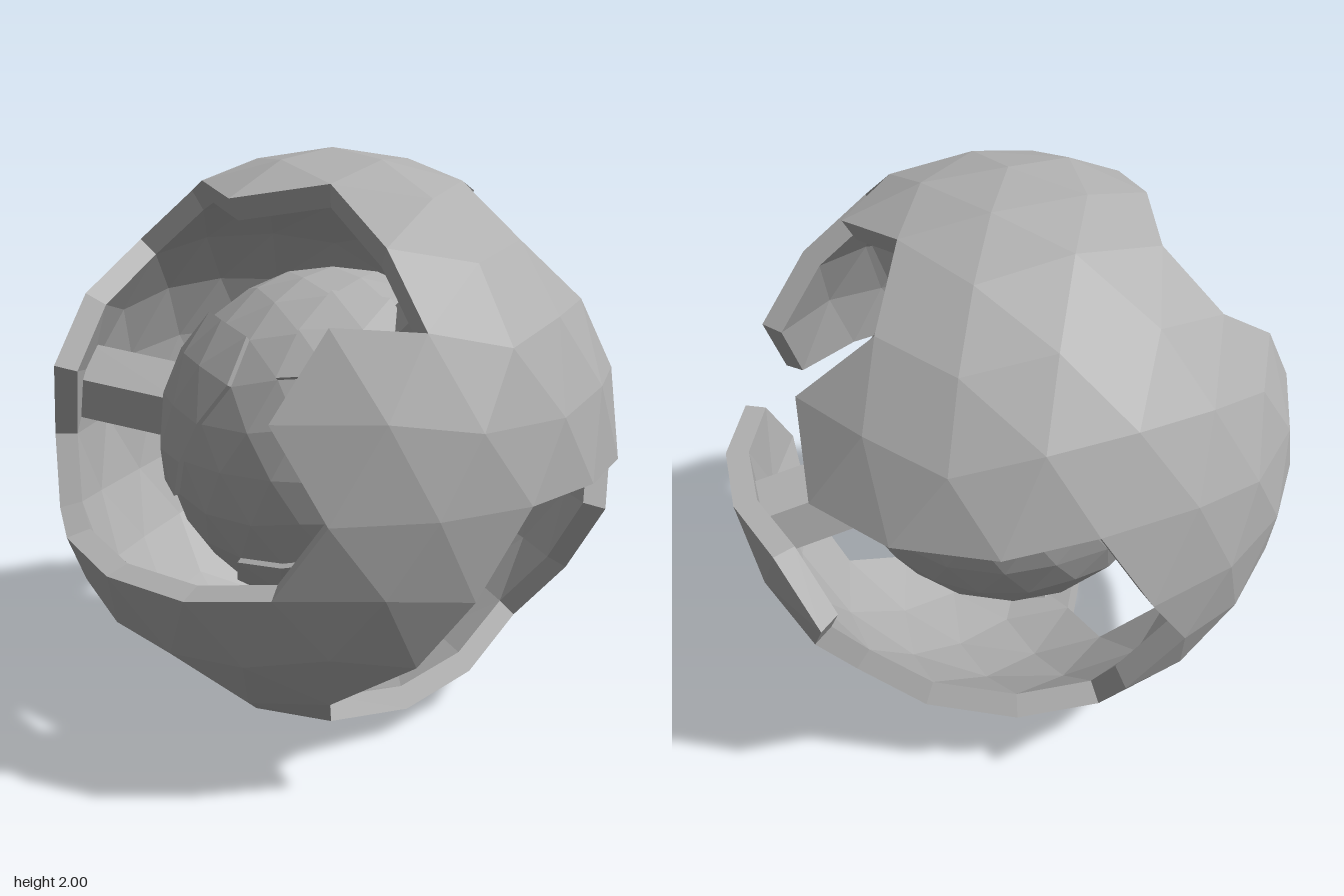
import * as THREE from 'three';

const grey = new THREE.MeshStandardMaterial({ color: 0xb0b0b0, flatShading: true });
grey.name = 'plain grey';

// Icosphere (20 faces split twice), one corner straight up
function icosphere() {
  const verts = [new THREE.Vector3(0, 1, 0)];
  const ring = (y, start) => {
    for (let k = 0; k < 5; k++) {
      const a = (start + 72 * k) * Math.PI / 180, r = 2 / Math.sqrt(5);
      verts.push(new THREE.Vector3(r * Math.cos(a), y, r * Math.sin(a)));
    }
  };
  ring(1 / Math.sqrt(5), 0);
  ring(-1 / Math.sqrt(5), 36);
  verts.push(new THREE.Vector3(0, -1, 0));
  let faces = [];
  for (let k = 0; k < 5; k++) {
    const u = 1 + k, u2 = 1 + (k + 1) % 5, l = 6 + k, l2 = 6 + (k + 1) % 5;
    faces.push([0, u2, u], [u, u2, l], [u2, l2, l], [11, l, l2]);
  }
  for (let pass = 0; pass < 2; pass++) {
    const cache = new Map(), next = [];
    const mid = (a, b) => {
      const key = Math.min(a, b) + '_' + Math.max(a, b);
      if (!cache.has(key)) {
        cache.set(key, verts.length);
        verts.push(verts[a].clone().add(verts[b]).normalize());
      }
      return cache.get(key);
    };
    for (const [a, b, c] of faces) {
      const ab = mid(a, b), bc = mid(b, c), ca = mid(c, a);
      next.push([a, ab, ca], [ab, b, bc], [ca, bc, c], [ab, bc, ca]);
    }
    faces = next;
  }
  return { verts, faces };
}
const ico = icosphere();

// Corner rows from top pole (0) to bottom pole (12)
const rowY = [1, 0.962, 0.87, 0.7, 0.49, 0.25, 0, -0.25, -0.49, -0.7, -0.87, -0.962, -1];

// Nearest sphere corner to a row and compass angle
function corner([row, deg]) {
  const y = rowY[row], r = Math.sqrt(1 - y * y), a = deg * Math.PI / 180;
  const d = new THREE.Vector3(r * Math.cos(a), y, r * Math.sin(a));
  return ico.verts.reduce((best, v) => (v.dot(d) > best.dot(d) ? v : best));
}

// Test whether a direction is inside an outline, in a stereographic map around a centre
function insideTest(centre, outline) {
  const n = new THREE.Vector3(...centre).normalize();
  const u = new THREE.Vector3(n.y, n.z, n.x).cross(n).normalize();
  const w = n.clone().cross(u);
  const flat = (v) => [v.dot(u) / (1 + v.dot(n)), v.dot(w) / (1 + v.dot(n))];
  const poly = outline.map((p) => flat(corner(p)));
  return (v) => {
    const [x, y] = flat(v);
    let inside = false;
    poly.forEach(([x1, y1], i) => {
      const [x2, y2] = poly[(i + 1) % poly.length];
      if ((y1 > y) !== (y2 > y) && x < x1 + (x2 - x1) * (y - y1) / (y2 - y1)) inside = !inside;
    });
    return inside;
  };
}

function facesWhere(test) {
  return ico.faces.filter((f) => {
    const c = new THREE.Vector3();
    f.forEach((i) => c.add(ico.verts[i]));
    return test(c.normalize());
  });
}

// Thick shell from chosen faces: outside, inside and rim walls
function shell(faces, rIn, rOut) {
  const pos = [], edges = new Set();
  const put = (i, r) => pos.push(...ico.verts[i].clone().multiplyScalar(r).toArray());
  for (const [a, b, c] of faces) {
    [a, b, c].forEach((i) => put(i, rOut));
    [a, c, b].forEach((i) => put(i, rIn));
    edges.add(a + '_' + b).add(b + '_' + c).add(c + '_' + a);
  }
  for (const e of edges) {
    const [a, b] = e.split('_').map(Number);
    if (edges.has(b + '_' + a)) continue;
    put(a, rOut); put(a, rIn); put(b, rIn);
    put(a, rOut); put(b, rIn); put(b, rOut);
  }
  const g = new THREE.BufferGeometry();
  g.setAttribute('position', new THREE.Float32BufferAttribute(pos, 3));
  g.computeVertexNormals();
  return g;
}

// Openings in the outer shell, as [row, angle] outlines
const frontOpening = [
  [7, 117], [7, 99], [7, 81], [7, 63], [7, 45], [6, 36], [5, 45], [4, 36], [4, 18], [3, 22],
  [2, 36], [2, 72], [2, 108], [2, 144], [3, 144], [4, 126], [5, 117], [6, 126],
];
const lowerFrontOpening = [
  [8, 126], [8, 108], [8, 90], [8, 72], [9, 58], [10, 72], [11, 108], [10, 144], [9, 130],
];
const backOpening = [
  [6, 0], [6, -18], [6, -36], [5, -45], [4, -36], [3, -22], [2, -36], [2, -72], [2, -108],
  [3, -122], [4, -108], [5, -117], [5, -135], [5, -153], [5, -171], [6, 180], [7, 171],
  [8, 180], [9, 180], [9, -158], [9, -130], [9, -108], [8, -108], [7, -117],
  [6, -108], [6, -90], [6, -72], [6, -54], [7, -45], [8, -54], [9, -58],
  [10, -36], [10, 0], [10, 36], [9, 36], [8, 18], [7, 9],
];

// Slightly raised plates on the core
const corePlates = [
  ['frontPlate', [-0.3, 0.2, 0.9], [
    [3, 122], [3, 94], [3, 72], [4, 72], [5, 81], [6, 90], [7, 99], [7, 117], [7, 135],
    [6, 144], [5, 153], [4, 144]]],
  ['sidePlate', [0.65, 0.7, 0.3], [
    [4, 54], [4, 36], [4, 18], [3, 0], [2, 0], [2, 36], [3, 50]]],
  ['bottomPlate', [0.2, -1, 0.1], [
    [8, 72], [8, 54], [8, 36], [8, 18], [8, 0], [7, -9], [7, -27], [8, -36], [9, -36],
    [10, -36], [10, -72], [10, -108], [10, -144], [10, 180], [10, 144], [10, 108], [9, 86]]],
];

export function createModel() {
  const model = new THREE.Group();
  const add = (name, geometry, parent) => {
    const m = new THREE.Mesh(geometry, grey);
    m.name = name;
    parent.add(m);
    return m;
  };
  const ball = new THREE.Group();
  ball.name = 'brokenSphere';
  ball.position.y = 1;
  model.add(ball);

  // Outer shell with openings
  const holes = [
    insideTest([0.05, 0.3, 1], frontOpening),
    insideTest([0, -0.75, 0.65], lowerFrontOpening),
    insideTest([0.1, 0, -1], backOpening),
  ];
  add('outerShell', shell(facesWhere((v) => !holes.some((h) => h(v))), 0.92, 1), ball);

  // Core ball and its plates
  add('core', shell(ico.faces, 0.55, 0.6), ball);
  for (const [name, centre, outline] of corePlates) {
    add(name, shell(facesWhere(insideTest(centre, outline)), 0.59, 0.62), ball);
  }

  // Six-sided struts between core and shell
  const up = new THREE.Vector3(0, 1, 0);
  const struts = [['frontStrut', [-0.66, 0.17, 0.66]], ['backStrut', [0.12, -0.17, -0.75]],
    ['sideStrut', [0.7, 0.65, -0.13]]];
  for (const [name, dir] of struts) {
    const d = new THREE.Vector3(...dir).normalize();
    const strut = add(name, new THREE.CylinderGeometry(0.155, 0.155, 0.4, 6), ball);
    strut.quaternion.setFromUnitVectors(up, d);
    strut.position.copy(d).multiplyScalar(0.73);
  }
  return model;
}
